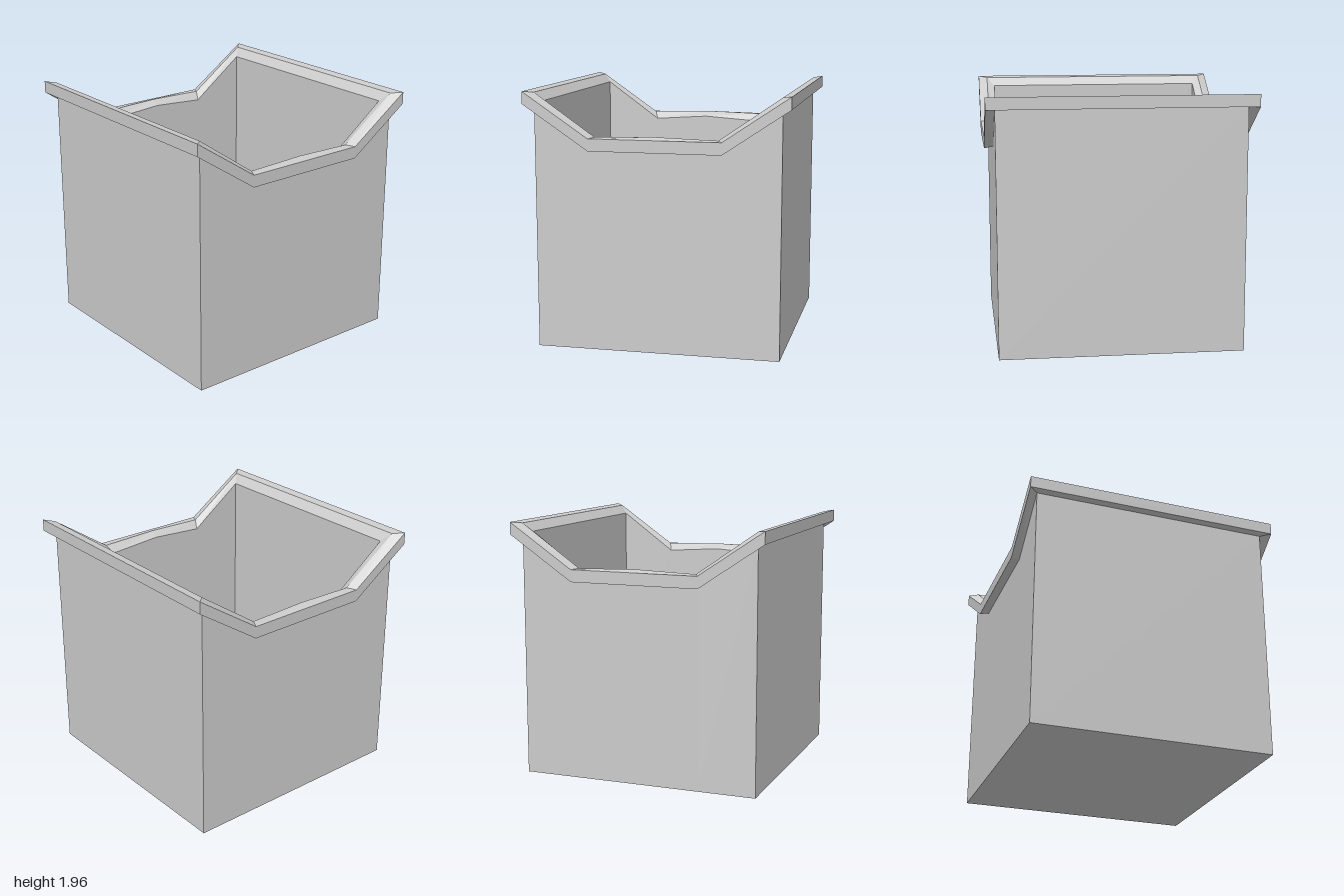
import * as THREE from 'three';

const material = new THREE.MeshStandardMaterial({ color: 0xcccccc, flatShading: true });

// One square loop: half width, z of the side dips, heights at corner, dip and mid-side.
function ring(half, dipZ, corner, dip = corner, mid = dip) {
  const side = [[half, corner], [dipZ, dip], [0, mid], [-dipZ, dip], [-half, corner]];
  return [
    ...side.map(([z, y]) => [half, y, z]),
    ...side.map(([z, y]) => [-half, y, -z]),
  ];
}

// Skin joining successive loops with quads.
function skin(name, rings) {
  const pos = [];
  for (let r = 0; r < rings.length - 1; r++) {
    const lo = rings[r], hi = rings[r + 1], n = lo.length;
    for (let i = 0; i < n; i++) {
      const j = (i + 1) % n;
      pos.push(...lo[i], ...lo[j], ...hi[j], ...lo[i], ...hi[j], ...hi[i]);
    }
  }
  const geometry = new THREE.BufferGeometry();
  geometry.setAttribute('position', new THREE.Float32BufferAttribute(pos, 3));
  geometry.computeVertexNormals();
  const mesh = new THREE.Mesh(geometry, material);
  mesh.name = name;
  return mesh;
}

// Horizontal square facing up or down.
function panel(name, half, y, up) {
  const geometry = new THREE.PlaneGeometry(half * 2, half * 2);
  geometry.rotateX(up ? -Math.PI / 2 : Math.PI / 2);
  const mesh = new THREE.Mesh(geometry, material);
  mesh.position.y = y;
  mesh.name = name;
  return mesh;
}

export function createModel() {
  const group = new THREE.Group();
  group.name = 'openBox';

  const wallTop = ring(0.93, 0.48, 1.87, 1.54);
  const innerLip = ring(0.87, 0.435, 1.885, 1.57, 1.6);

  // Outer walls and underside
  group.add(skin('outerWalls', [ring(0.93, 0.48, 0), wallTop]));
  group.add(panel('base', 0.93, 0, false));

  // Overhanging rim that dips along both sides, with a bevel to the inside
  group.add(skin('rim', [
    wallTop,
    ring(1, 0.5, 1.867, 1.53),
    ring(1, 0.5, 1.96, 1.623),
    ring(0.93, 0.465, 1.95, 1.627, 1.64),
    innerLip,
  ]));

  // Hollow interior
  group.add(skin('innerWalls', [innerLip, ring(0.87, 0.435, 0.06)]));
  group.add(panel('floor', 0.87, 0.06, true));

  return group;
}
